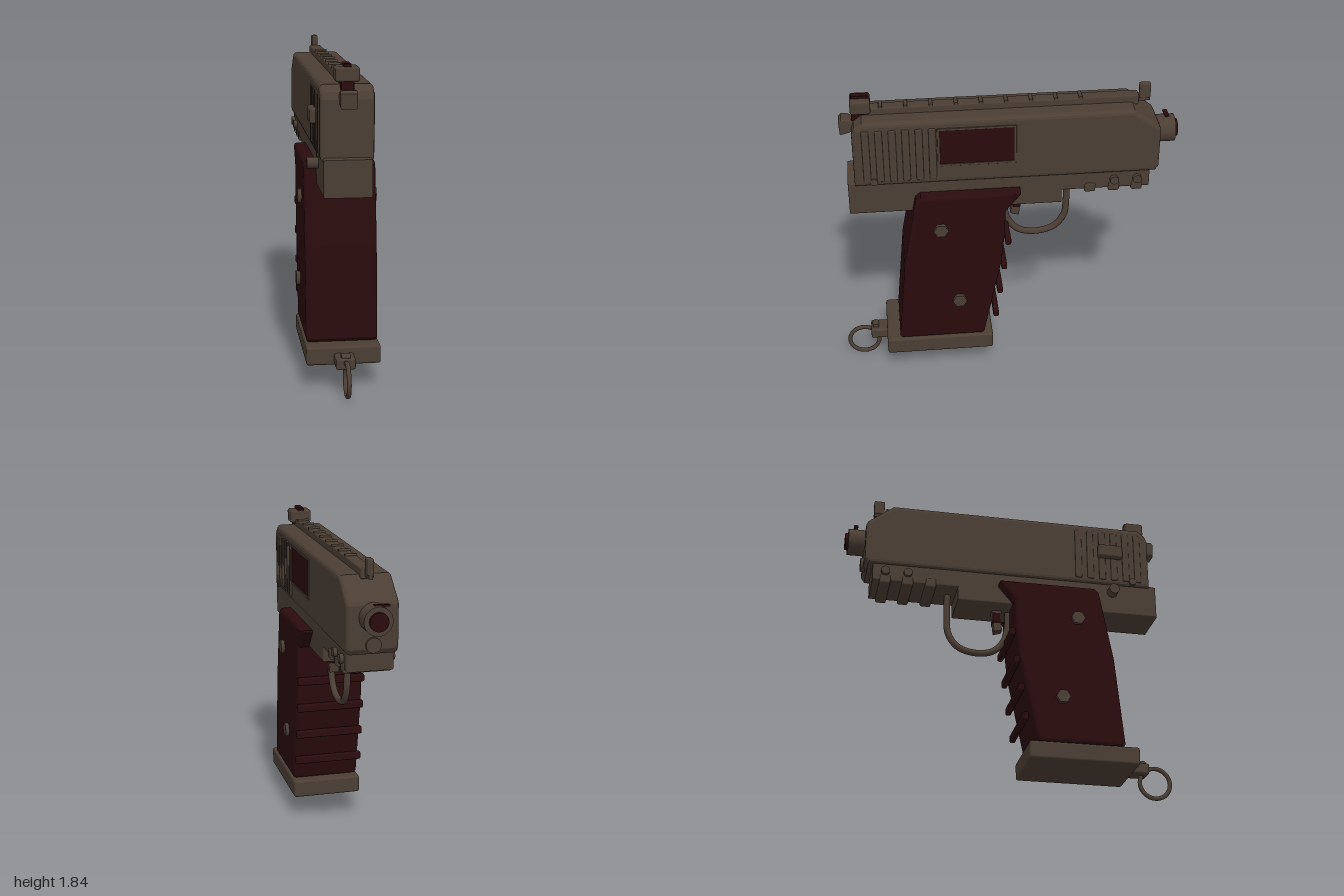
import * as THREE from 'three';
import { RoundedBoxGeometry } from 'three/addons/geometries/RoundedBoxGeometry.js';

export function createModel() {
  const model = new THREE.Group();
  const metal = new THREE.MeshStandardMaterial({ color: 0x4b3e34 });
  metal.name = 'brown metal';
  const red = new THREE.MeshStandardMaterial({ color: 0x2a0b0d });
  red.name = 'dark red';

  function add(name, geometry, material, x = 0, y = 0, z = 0) {
    const mesh = new THREE.Mesh(geometry, material);
    mesh.name = name;
    mesh.position.set(x, y, z);
    model.add(mesh);
    return mesh;
  }
  // Box given by its ranges along each axis
  function box(name, material, [x0, x1], [y0, y1], [z0, z1], r = 0.01) {
    const w = x1 - x0, h = y1 - y0, d = z1 - z0;
    const g = r > 0 ? new RoundedBoxGeometry(w, h, d, 2, r) : new THREE.BoxGeometry(w, h, d);
    return add(name, g, material, (x0 + x1) / 2, (y0 + y1) / 2, (z0 + z1) / 2);
  }
  // Side profile of [z, y] points, extruded across x with a bevelled rim
  function profile(name, material, points, halfWidth, bevel) {
    const shape = new THREE.Shape(points.map(([z, y]) => new THREE.Vector2(z, y)));
    const g = new THREE.ExtrudeGeometry(shape, {
      depth: 2 * (halfWidth - bevel), bevelEnabled: true, bevelThickness: bevel,
      bevelSize: bevel, bevelOffset: -bevel, bevelSegments: 3,
    });
    g.translate(0, 0, bevel - halfWidth).rotateY(-Math.PI / 2);
    return add(name, g, material);
  }
  const rodX = (r, length, sides = 20) => new THREE.CylinderGeometry(r, r, length, sides).rotateZ(Math.PI / 2);
  const rodZ = (r, length) => new THREE.CylinderGeometry(r, r, length, 28).rotateX(Math.PI / 2);

  // Slide and frame
  profile('slide', metal, [
    [0.88, 1.33], [0.88, 1.66], [0.865, 1.7], [0.82, 1.735], [-0.72, 1.735],
    [-0.87, 1.62], [-0.88, 1.6], [-0.88, 1.36], [-0.86, 1.33],
  ], 0.146, 0.025);
  profile('frame', metal, [
    [0.92, 1.14], [0.92, 1.345], [0.88, 1.35], [-0.83, 1.35], [-0.83, 1.225], [-0.315, 1.225], [-0.315, 1.14],
  ], 0.132, 0.01);

  // Slide serrations, accessory rail blocks and their studs
  for (const s of [-1, 1]) {
    for (let i = 0; i < 6; i++) {
      const z = 0.805 - i * 0.075;
      box('serration', metal, [s * 0.145 - 0.008, s * 0.145 + 0.008], [1.36, 1.69], [z - 0.021, z + 0.021], 0.007);
    }
    for (const z of [-0.62, -0.755]) add('railStud', rodX(0.026, 0.04), metal, s * 0.135, 1.285, z);
    add('framePin', rodX(0.022, 0.02), metal, s * 0.145, 1.36, 0.77);
  }
  for (const z of [-0.48, -0.62, -0.755]) {
    box('railBlock', metal, [-0.138, 0.138], [1.205, 1.265], [z - 0.033, z + 0.033], 0.012);
  }

  // Ejection port on one side
  box('ejectionPort', red, [0.143, 0.148], [1.455, 1.675], [-0.035, 0.39], 0);
  for (const y of [1.45, 1.68]) box('portLip', metal, [0.14, 0.152], [y - 0.007, y + 0.007], [-0.047, 0.403], 0.003);
  for (const z of [-0.04, 0.396]) box('portLip', metal, [0.14, 0.152], [1.45, 1.68], [z - 0.007, z + 0.007], 0.003);

  // Safety catch and release button on the other side
  box('safetyCatch', metal, [-0.185, -0.14], [1.505, 1.59], [0.55, 0.705], 0.015);
  add('releaseButton', rodX(0.032, 0.07), metal, -0.16, 1.28, 0.64);

  // Sighting rib with cross bars
  box('topRib', metal, [-0.036, 0.036], [1.715, 1.775], [-0.76, 0.8], 0.008);
  box('ribTip', metal, [-0.012, 0.012], [1.725, 1.755], [-0.83, -0.74], 0.005);
  for (let i = 0; i < 9; i++) {
    add('ribCrossBar', rodX(0.011, 0.07, 10), metal, 0, 1.775, -0.425 + i * 0.142);
  }

  // Sights and hammer
  box('frontSight', metal, [-0.018, 0.018], [1.745, 1.835], [-0.83, -0.765], 0.008);
  box('rearSight', metal, [-0.065, 0.065], [1.75, 1.832], [0.765, 0.88], 0.015);
  box('rearSightNeck', red, [-0.035, 0.035], [1.7, 1.76], [0.79, 0.875], 0.004);
  box('rearSightInsert', red, [-0.02, 0.02], [1.82, 1.848], [0.77, 0.872], 0.004);
  profile('hammer', metal, [
    [0.86, 1.64], [0.89, 1.63], [0.945, 1.615], [0.95, 1.7], [0.935, 1.715], [0.9, 1.715], [0.86, 1.69],
  ], 0.045, 0.01);

  // Muzzle
  add('barrel', new THREE.LatheGeometry([
    [0, -0.86], [0.08, -0.86], [0.08, -0.965], [0.07, -0.978], [0.052, -0.98], [0.052, -0.995], [0, -0.995],
  ].map(([r, z]) => new THREE.Vector2(r, -z)), 28).rotateX(-Math.PI / 2), metal, 0, 1.535, 0).material = metal;
  model.children.at(-1).geometry = new THREE.CylinderGeometry(0.08, 0.08, 0.115, 28).rotateX(Math.PI / 2);
  model.children.at(-1).position.z = -0.9225;
  add('muzzleTip', rodZ(0.052, 0.03), red, 0, 1.535, -0.983);
  add('guideRod', rodZ(0.042, 0.05), metal, 0, 1.385, -0.873);
  box('barrelMark', red, [-0.07, 0.015], [1.606, 1.617], [-0.95, -0.925], 0);

  // Grip with screws and finger ridges
  profile('grip', red, [
    [0.51, 1.265], [0.54, 1.24], [0.62, 0.8], [0.67, 0.27], [0.66, 0.255], [0.165, 0.255], [0.15, 0.27],
    [0.045, 0.78], [0.025, 0.98], [0.02, 1.14], [-0.07, 1.25], [-0.068, 1.265],
  ], 0.203, 0.02);
  for (const s of [-1, 1]) {
    for (const [z, y] of [[0.4, 1.045], [0.3, 0.53]]) {
      const screw = add('gripScrew', new THREE.CylinderGeometry(0.043, 0.043, 0.04, 6), metal, s * 0.206, y, z);
      screw.rotation.z = Math.PI / 2;
    }
  }
  for (let i = 0; i < 4; i++) {
    const z = 0.005 + i * 0.025, y = 0.93 - i * 0.176;
    box('fingerRidge', red, [-0.206, 0.206], [y - 0.024, y + 0.024], [z - 0.017, z + 0.017], 0.01);
  }

  // Trigger and guard
  profile('trigger', metal, [[-0.03, 1.15], [-0.09, 1.15], [-0.085, 1.08], [-0.075, 1.0], [-0.025, 1.015], [-0.035, 1.07]], 0.03, 0.006);
  box('triggerFace', red, [-0.034, 0.034], [1.06, 1.125], [-0.085, -0.04], 0.004);
  const guard = new THREE.CatmullRomCurve3([
    [1.23, -0.362], [1.08, -0.362], [0.97, -0.35], [0.89, -0.29], [0.86, -0.18],
    [0.88, -0.08], [0.95, -0.015], [1.05, 0.01], [1.16, 0.012],
  ].map(([y, z]) => new THREE.Vector3(0, y, z)));
  add('triggerGuard', new THREE.TubeGeometry(guard, 48, 0.02, 10), metal);

  // Magazine base and lanyard ring
  box('magazineBase', metal, [-0.21, 0.21], [0.145, 0.252], [0.1, 0.75], 0.015);
  box('lanyardLug', metal, [-0.055, 0.055], [0.15, 0.215], [0.72, 0.85], 0.012);
  add('lanyardScrew', rodX(0.02, 0.05), metal, 0, 0.218, 0.82);
  add('lanyardRing', new THREE.TorusGeometry(0.092, 0.013, 10, 36).rotateY(Math.PI / 2), metal, 0, 0.11, 0.895);

  return model;
}
